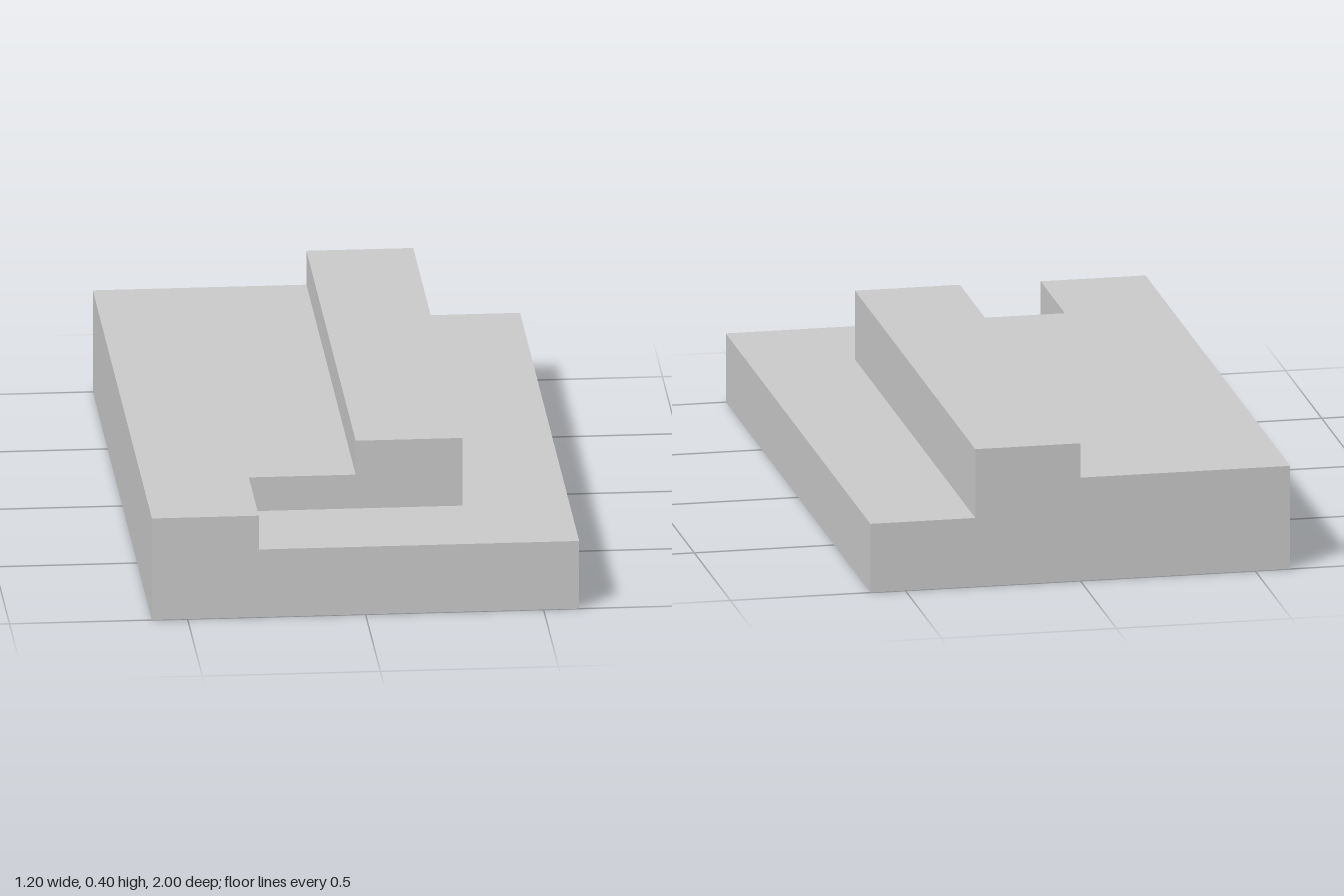
import * as THREE from 'three';

const material = new THREE.MeshStandardMaterial({ color: 0xcccccc, flatShading: true });

// Extrude an x/y profile from z0 to z1
function section(name, points, z0, z1) {
  const shape = new THREE.Shape(points.map(([x, y]) => new THREE.Vector2(x, y)));
  const geometry = new THREE.ExtrudeGeometry(shape, { depth: z1 - z0, bevelEnabled: false });
  geometry.translate(0, 0, z0);
  const mesh = new THREE.Mesh(geometry, material);
  mesh.name = name;
  return mesh;
}

export function createModel() {
  const group = new THREE.Group();
  group.name = 'steppedBlock';
  const split = 0.665;

  // Long section: low ledge, tall rail and wide raised deck
  group.add(section('railSection', [
    [-0.6, 0], [0.6, 0], [0.6, 0.2], [0.3, 0.2],
    [0.3, 0.4], [0, 0.4], [0, 0.3], [-0.6, 0.3],
  ], -1, split));

  // Front section: low ledge with a narrow raised strip
  group.add(section('frontSection', [
    [-0.6, 0], [0.6, 0], [0.6, 0.2], [-0.3, 0.2], [-0.3, 0.3], [-0.6, 0.3],
  ], split, 1));

  return group;
}
